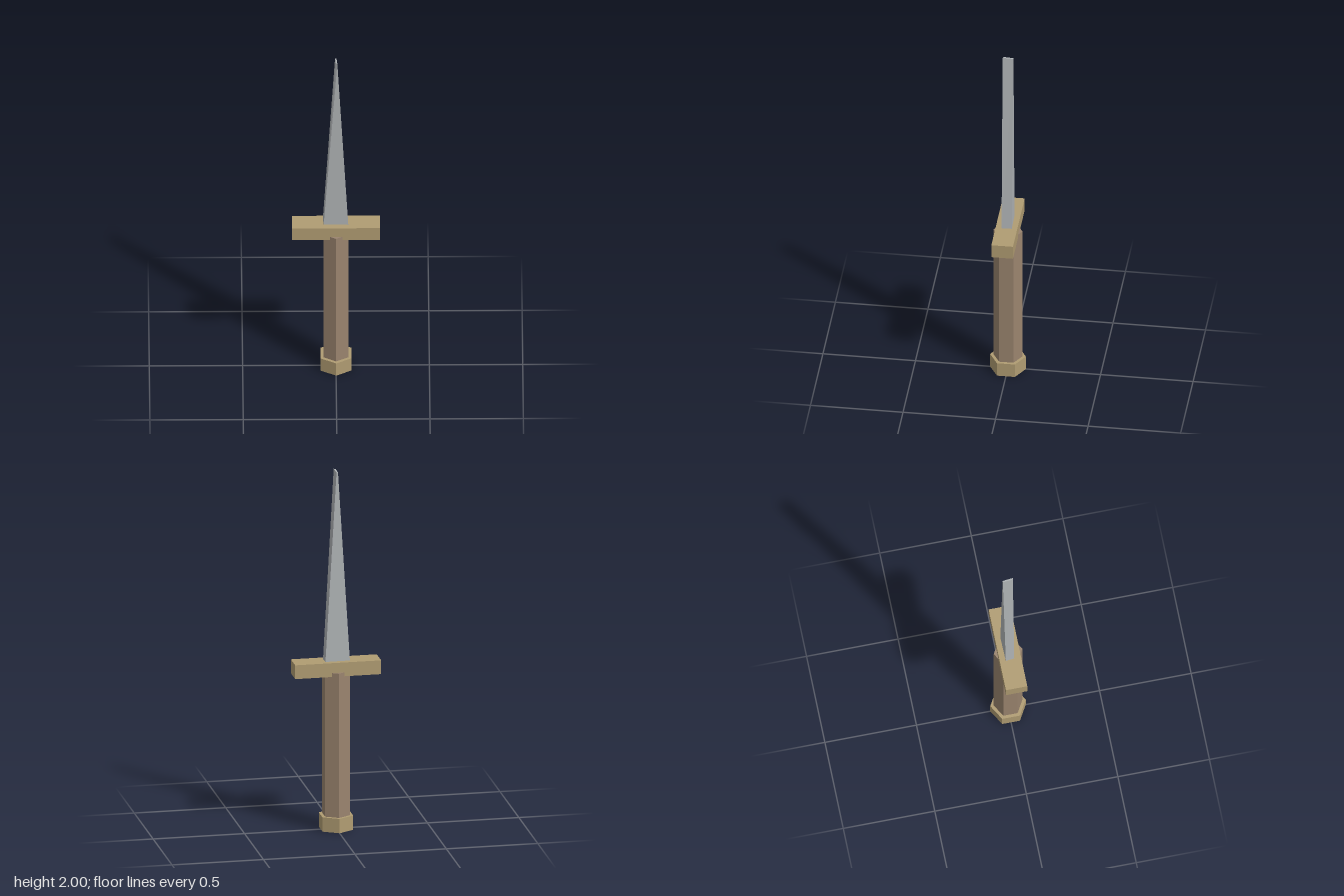
import * as THREE from 'three';

const BRASS = 0xb09c72, LEATHER = 0x9a846e, STEEL = 0xb0b4b6;

function part(name, geometry, color, y = 0) {
  const material = new THREE.MeshStandardMaterial({ color, flatShading: true });
  const mesh = new THREE.Mesh(geometry, material);
  mesh.name = name;
  mesh.position.y = y;
  return mesh;
}

// Hexagonal prism with corners on +z and -z
function hexPrism(radius, y0, y1) {
  return new THREE.CylinderGeometry(radius, radius, y1 - y0, 6).translate(0, (y0 + y1) / 2, 0);
}

// Box whose corners are moved to a slightly uneven taper; keys are the signs of x, y, z
function bladeGeometry() {
  const corners = {
    '---': [-0.071, 0.935, -0.026], '--+': [-0.066, 0.935, 0.021],
    '+--': [0.064, 0.935, -0.029], '+-+': [0.066, 0.935, 0.026],
    '-+-': [-0.005, 1.995, -0.029], '-++': [-0.002, 2, 0.022],
    '++-': [0.003, 1.995, -0.029], '+++': [0.007, 2, 0.028],
  };
  const geometry = new THREE.BoxGeometry(1, 1, 1);
  const p = geometry.attributes.position;
  for (let i = 0; i < p.count; i++) {
    const key = [p.getX(i), p.getY(i), p.getZ(i)].map(v => (v < 0 ? '-' : '+')).join('');
    p.setXYZ(i, ...corners[key]);
  }
  geometry.computeVertexNormals();
  return geometry;
}

export function createModel() {
  const dagger = new THREE.Group();
  dagger.name = 'dagger';

  dagger.add(
    part('pommel', hexPrism(0.097, 0, 0.08), BRASS),
    part('grip', hexPrism(0.078, 0.07, 0.885), LEATHER),
    part('crossguard', new THREE.BoxGeometry(0.47, 0.077, 0.117), BRASS, 0.902),
    part('blade', bladeGeometry(), STEEL),
  );
  return dagger;
}
